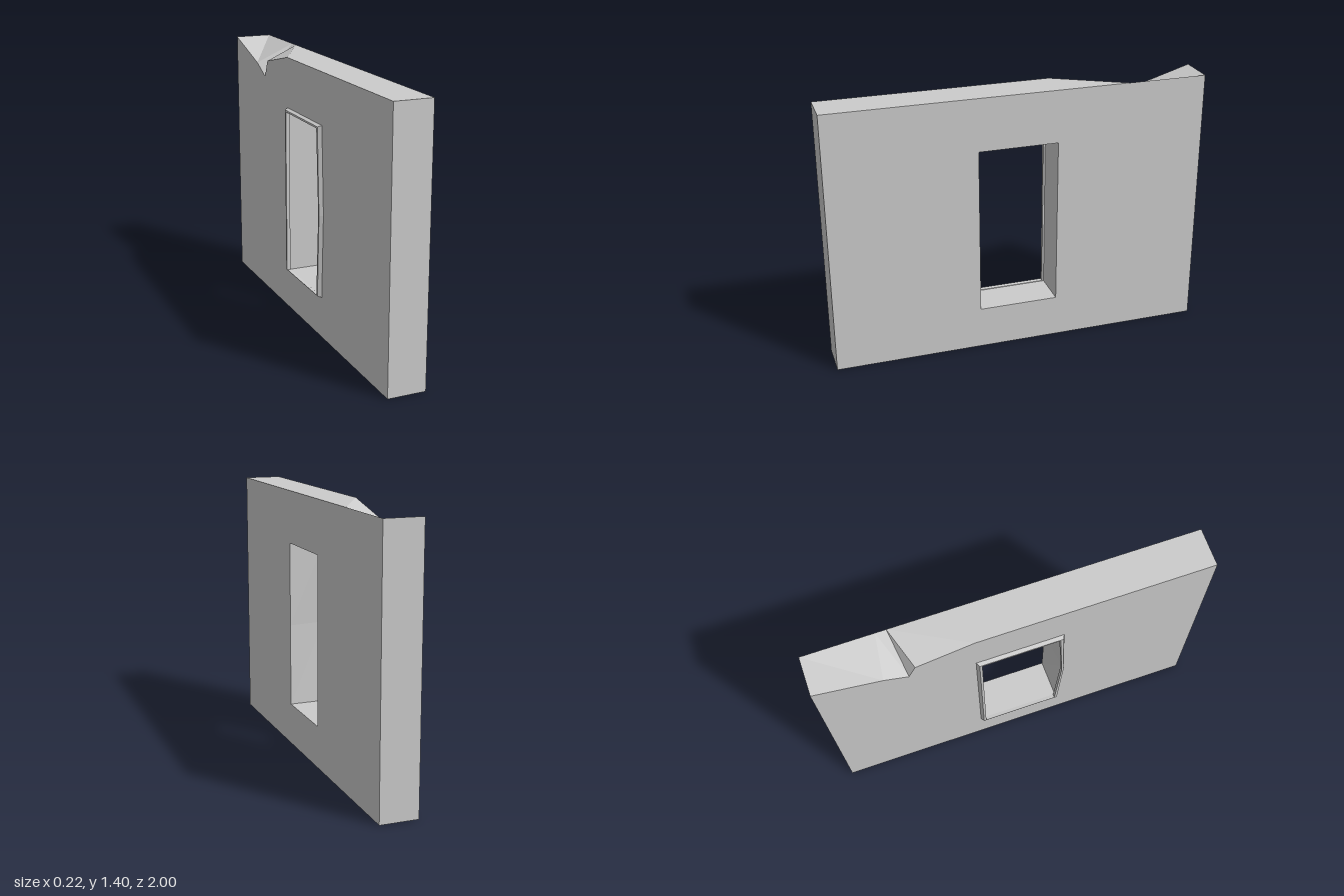
import * as THREE from 'three';

const material = new THREE.MeshStandardMaterial({ color: 0xcccccc, flatShading: true });

// Solid between two matching outlines of [z, y] points, one at each x.
// Outer outlines run counter-clockwise seen from -x, holes clockwise.
function loft(name, near, far) {
  const positions = [];
  const put = (x, p) => positions.push(x, p[1], p[0]);

  // Flat faces, each with its hole
  const cap = (side, flip) => {
    const outer = side.outer.map(p => new THREE.Vector2(...p));
    const hole = side.hole.map(p => new THREE.Vector2(...p));
    const all = [...side.outer, ...side.hole];
    for (const [a, b, c] of THREE.ShapeUtils.triangulateShape(outer, [hole])) {
      for (const i of flip ? [a, c, b] : [a, b, c]) put(side.x, all[i]);
    }
  };
  cap(near, false);
  cap(far, true);

  // Walls around the outside and through the opening
  for (const ring of ['outer', 'hole']) {
    const n = near[ring], f = far[ring];
    n.forEach((p, i) => {
      const j = (i + 1) % n.length;
      put(near.x, p); put(far.x, f[i]); put(far.x, f[j]);
      put(near.x, p); put(far.x, f[j]); put(near.x, n[j]);
    });
  }

  const geometry = new THREE.BufferGeometry();
  geometry.setAttribute('position', new THREE.Float32BufferAttribute(positions, 3));
  geometry.computeVertexNormals();
  const mesh = new THREE.Mesh(geometry, material);
  mesh.name = name;
  return mesh;
}

// Window outline whose +z edge bows outwards at mid height
const opening = (z0, z1, zMid, y0, y1) =>
  [[z0, y0], [z1, y0], [zMid, 0.67], [z1, y1], [z0, y1]];
const hole = (...args) => opening(...args).reverse();

export function createModel() {
  const group = new THREE.Group();
  group.name = 'wallWithWindow';

  // Wall slab, its top edge broken away on the -x side
  const base = [[-1, 0], [1, 0], [1, 1.4]];
  group.add(loft('wall',
    {
      x: -0.09,
      outer: [...base, [-0.213, 1.4], [-0.507, 1.335], [-0.545, 1.243], [-0.665, 1.301], [-1, 1.4]],
      hole: hole(-0.2, 0.225, 0.25, 0.225, 1.12),
    },
    {
      x: 0.11,
      outer: [...base, [-0.53, 1.4], [-0.58, 1.4], [-0.58, 1.4], [-0.635, 1.4], [-1, 1.4]],
      hole: hole(-0.2, 0.22, 0.22, 0.225, 1.12),
    }));

  // Thin bevelled surround standing proud of the wall
  group.add(loft('windowSurround',
    {
      x: -0.11,
      outer: opening(-0.203, 0.23, 0.25, 0.228, 1.125),
      hole: hole(-0.19, 0.215, 0.24, 0.231, 1.115),
    },
    {
      x: -0.09,
      outer: opening(-0.215, 0.24, 0.26, 0.222, 1.132),
      hole: hole(-0.19, 0.215, 0.24, 0.228, 1.115),
    }));

  return group;
}
